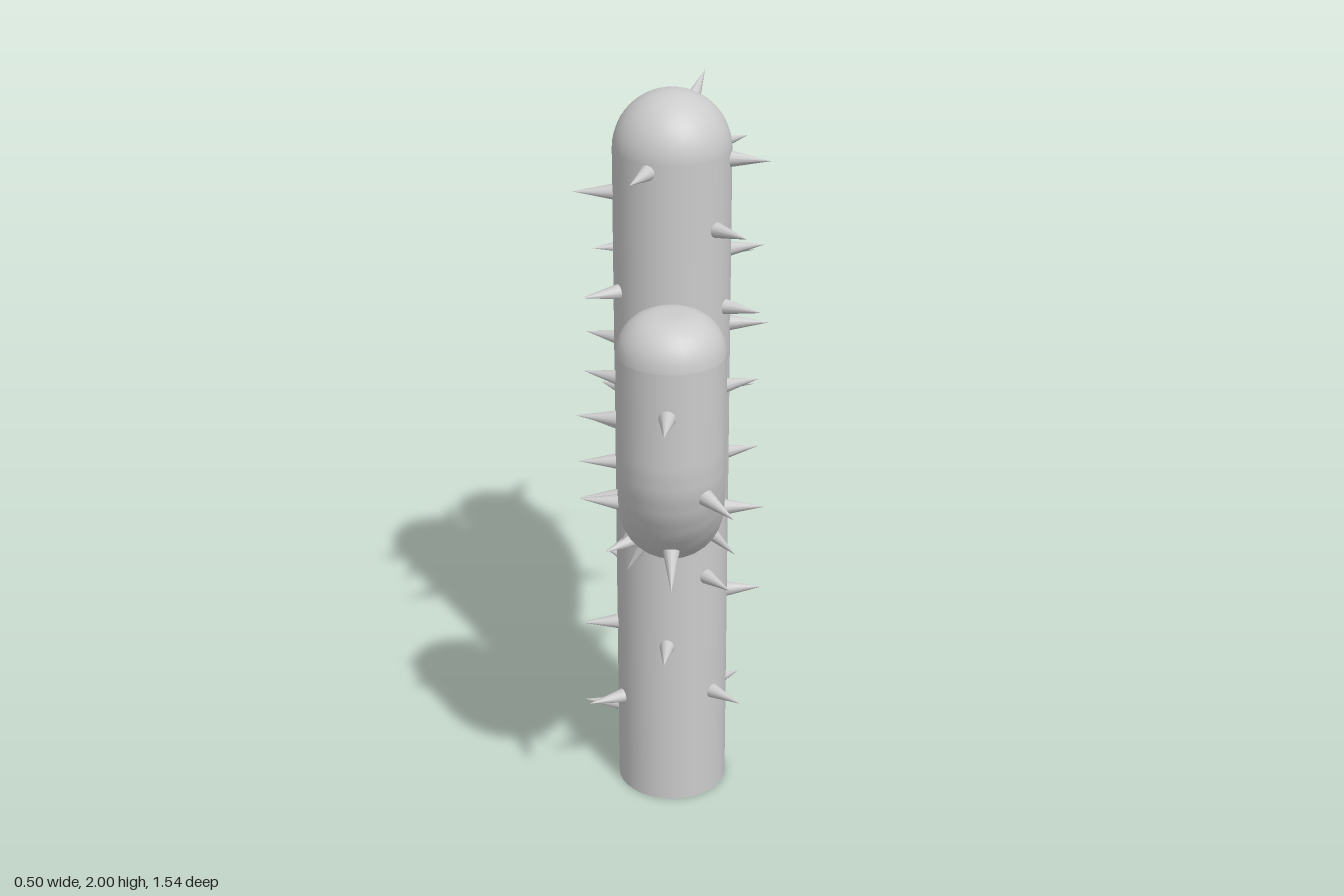
import * as THREE from 'three';

const TRUNK_R = 0.15, TRUNK_Z = -0.04, ARM_R = 0.13, ARM_Y = 1.03, SPINE_OUT = 0.1;
const rad = THREE.MathUtils.degToRad;
const material = new THREE.MeshStandardMaterial({ color: 0xcccccc, side: THREE.DoubleSide });

// Cone whose base sits just inside the skin
const spineGeometry = new THREE.ConeGeometry(0.024, SPINE_OUT + 0.02, 12);
spineGeometry.translate(0, SPINE_OUT / 2 - 0.01, 0);

function addMesh(parent, geometry, name) {
  const mesh = new THREE.Mesh(geometry, material);
  mesh.name = name;
  parent.add(mesh);
  return mesh;
}

// Spine leaving a stem of the given radius from a point on its axis
function addSpine(parent, origin, direction, radius) {
  const dir = direction.clone().normalize();
  const spine = addMesh(parent, spineGeometry, 'spine');
  spine.quaternion.setFromUnitVectors(new THREE.Vector3(0, 1, 0), dir);
  spine.position.copy(origin).addScaledVector(dir, radius);
}

// Trunk spines: [height, compass angle from the front towards +x]
const trunkSpines = [
  [1.83, -24], [1.83, 80], [1.83, 130], [1.75, -145], [1.735, -90], [1.67, 48],
  [1.565, 108], [1.545, 178], [1.51, -150], [1.49, -65], [1.45, 65], [1.38, 90],
  [1.33, 5], [1.31, -115], [1.14, 30], [1.14, -130], [1.07, -110], [0.98, 112],
  [0.98, -90], [0.8, -45], [0.77, 150], [0.695, 38], [0.62, -133], [0.58, 97],
  [0.495, -5], [0.495, -85], [0.39, -172], [0.325, 48], [0.285, -65], [0.23, 130],
  [0.205, -100],
];

function createTrunk() {
  const group = new THREE.Group();
  group.name = 'trunk';
  group.position.z = TRUNK_Z;

  // Open-bottomed column with a hemispherical top
  const profile = [new THREE.Vector2(TRUNK_R, 0)];
  for (let i = 0; i <= 12; i++) {
    const a = (i / 12) * Math.PI / 2;
    profile.push(new THREE.Vector2(i === 12 ? 0 : TRUNK_R * Math.cos(a), 2 - TRUNK_R + TRUNK_R * Math.sin(a)));
  }
  addMesh(group, new THREE.LatheGeometry(profile, 32), 'trunkStem');

  for (const [y, angle] of trunkSpines) {
    const a = rad(angle);
    addSpine(group, new THREE.Vector3(0, y, 0), new THREE.Vector3(Math.sin(a), 0, Math.cos(a)), TRUNK_R);
  }
  // Spine on the crown
  addSpine(group, new THREE.Vector3(0, 1.85, 0), new THREE.Vector3(0.08, 0.14, -0.18), TRUNK_R);
  return group;
}

// Arm: horizontal run, quarter bend, vertical run; side is +1 (front) or -1 (back)
function createArm({ name, side, reach, bend, top, spines, crownSpine }) {
  const group = new THREE.Group();
  group.name = name;
  const startZ = side * (reach - bend), capR = 0.1, capY = top - capR;

  // Axis point and outward normal at bend angle t, shifted along the axis
  const frame = (t, shift = 0) => {
    const a = rad(t), s = Math.sin(a), c = Math.cos(a);
    return {
      point: new THREE.Vector3(0, ARM_Y + bend * (1 - c) + shift * s, startZ + side * (bend * s + shift * c)),
      normal: new THREE.Vector3(0, -c, side * s),
    };
  };

  const path = new THREE.CurvePath();
  const knots = [new THREE.Vector3(0, ARM_Y, TRUNK_Z)];
  for (let i = 0; i <= 8; i++) knots.push(frame(i * 90 / 8).point);
  knots.push(new THREE.Vector3(0, capY, side * reach));
  for (let i = 1; i < knots.length; i++) path.add(new THREE.LineCurve3(knots[i - 1], knots[i]));
  addMesh(group, new THREE.TubeGeometry(path, 40, ARM_R, 28, false), 'armStem');

  // Slightly flattened rounded tip
  const profile = [];
  for (let i = 0; i <= 8; i++) {
    const a = (i / 8) * Math.PI / 2;
    profile.push(new THREE.Vector2(ARM_R - capR + capR * Math.cos(a), capR * Math.sin(a)));
  }
  profile.push(new THREE.Vector2(0, capR));
  addMesh(group, new THREE.LatheGeometry(profile, 28), 'armTip').position.set(0, capY, side * reach);

  // Spines: [bend angle, shift along axis, roll from outward towards +x]
  for (const [t, shift, roll] of spines) {
    const { point, normal } = frame(t, shift);
    const dir = normal.multiplyScalar(Math.cos(rad(roll)));
    dir.x = Math.sin(rad(roll));
    addSpine(group, point, dir, ARM_R);
  }
  if (crownSpine) {
    addSpine(group, new THREE.Vector3(0, top - ARM_R, side * reach), new THREE.Vector3(...crownSpine), ARM_R + 0.02);
  }
  return group;
}

export function createModel() {
  const model = new THREE.Group();
  model.name = 'cactus';
  model.add(createTrunk());
  model.add(createArm({
    name: 'frontArm', side: 1, reach: 0.52, bend: 0.27, top: 1.64,
    spines: [
      [90, 0.13, -4], [90, 0.13, 115], [90, 0.06, -100], [90, 0.15, -115], [75, 0, 40],
      [45, 0, 0], [26, 0, 90], [26, 0, -95], [3, 0, 45], [5, 0, -30], [0, 0, -88],
      [38, 0, 180], [8, 0, -150], [0, -0.1, 10], [0, -0.1, -35], [0, -0.13, 150],
    ],
  }));
  model.add(createArm({
    name: 'backArm', side: -1, reach: 0.575, bend: 0.22, top: 1.54,
    spines: [
      [90, 0.13, 93], [90, 0.15, -104], [90, 0.1, 180], [90, 0.05, -40], [80, 0, 15],
      [45, 0, 0], [15, 0, 90], [20, 0, -95], [15, 0, -135], [0, 0, 150],
      [0, -0.13, 170], [0, -0.1, -155], [0, -0.13, 20], [0, -0.1, -30],
    ],
    crownSpine: [0.14, 0.14, -0.17],
  }));
  return model;
}
